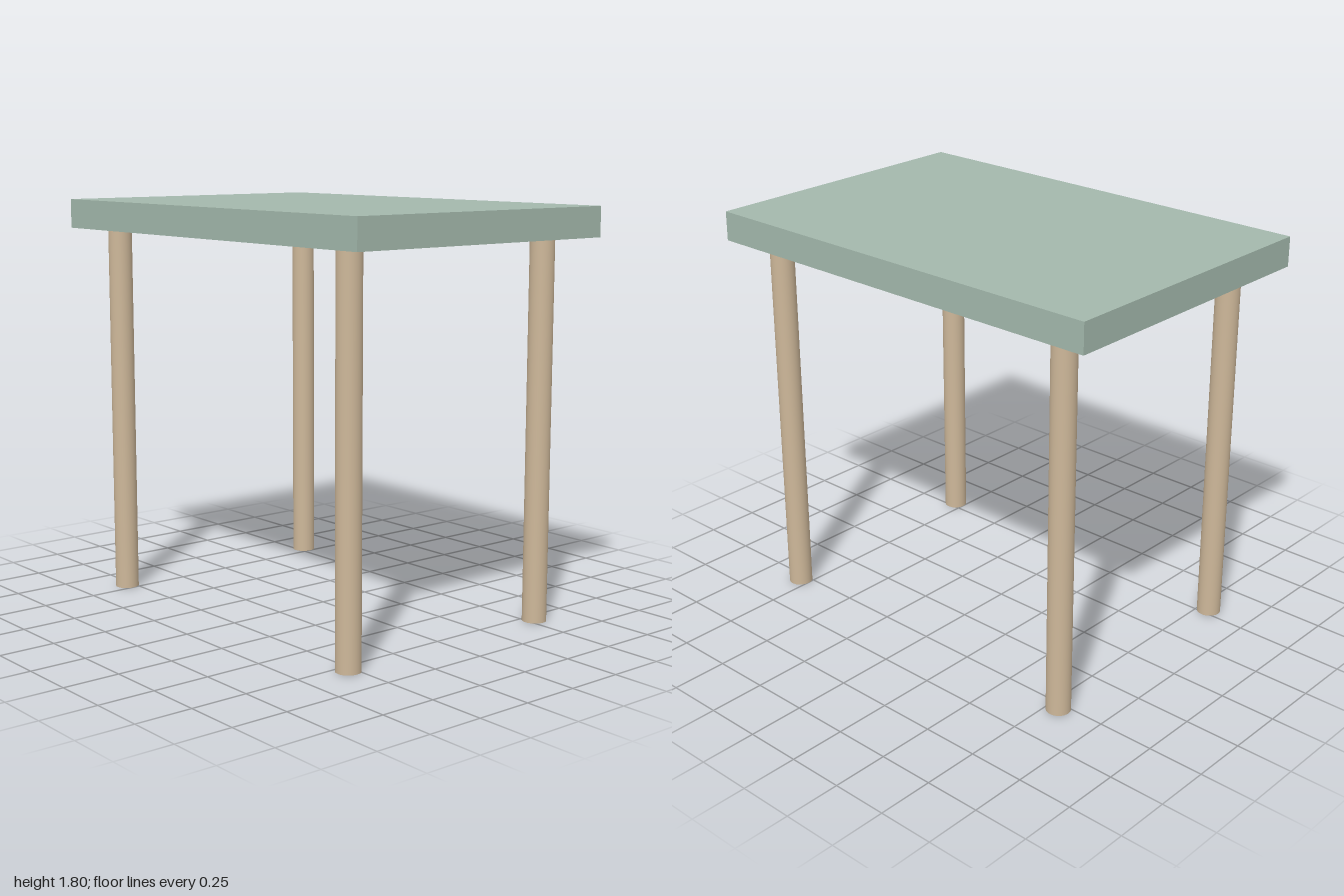
import * as THREE from 'three';

export function createModel() {
  const table = new THREE.Group();
  table.name = 'table';

  const topMaterial = new THREE.MeshStandardMaterial({ color: 0xa3b8ac });
  const legMaterial = new THREE.MeshStandardMaterial({ color: 0xcdb799 });

  const legHeight = 1.67;
  const topThickness = 0.13;

  // Rectangular slab top
  const top = new THREE.Mesh(new THREE.BoxGeometry(2, topThickness, 1.333), topMaterial);
  top.name = 'tableTop';
  top.position.y = legHeight + topThickness / 2;
  table.add(top);

  // Four round legs, set in from the corners
  const legGeometry = new THREE.CylinderGeometry(0.053, 0.053, legHeight, 32);
  for (const [xSide, xName] of [[1, 'Left'], [-1, 'Right']]) {
    for (const [zSide, zName] of [[1, 'front'], [-1, 'back']]) {
      const leg = new THREE.Mesh(legGeometry, legMaterial);
      leg.name = `${zName}${xName}Leg`;
      leg.position.set(xSide * 0.8, legHeight / 2, zSide * 0.533);
      table.add(leg);
    }
  }

  return table;
}
